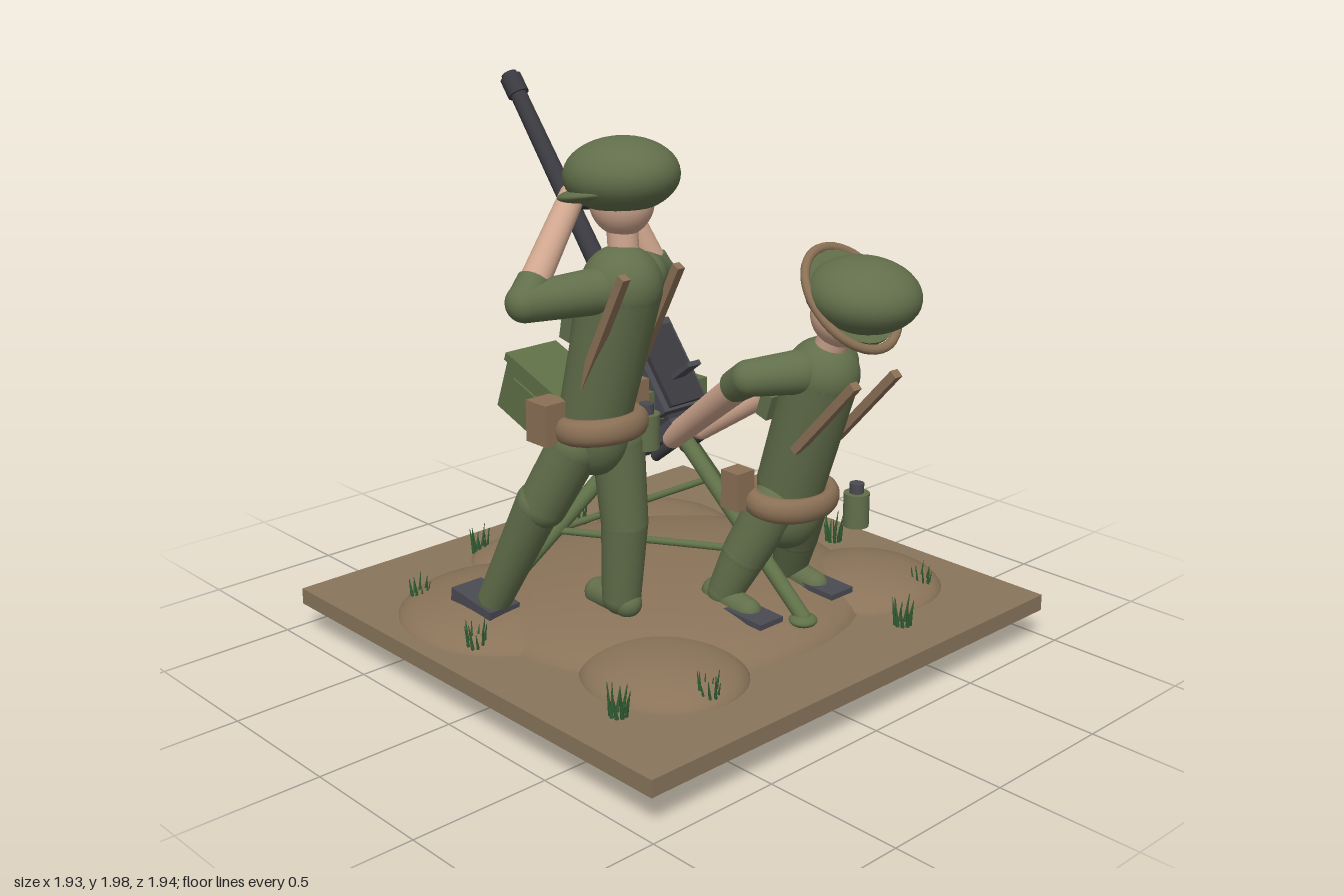
import * as THREE from 'three';

const mat = (name, color) => Object.assign(new THREE.MeshStandardMaterial({ color }), { name });
const M = {
  soil: mat('soil', 0x88755c), mound: mat('mound', 0x8a7359), cloth: mat('olive cloth', 0x626f4b),
  skin: mat('skin', 0xcfa68e), web: mat('tan webbing', 0x8a7055), steel: mat('gun steel', 0x4a4a52),
  dark: mat('dark steel', 0x3a3a40), paint: mat('green paint', 0x5f7048), grass: mat('grass', 0x2f5a30),
};
const V = (p) => new THREE.Vector3(...p);

function add(parent, name, geo, material, pos = [0, 0, 0], rot = [0, 0, 0]) {
  const m = new THREE.Mesh(geo, material);
  m.name = name;
  m.position.set(...pos);
  m.rotation.set(...rot);
  parent.add(m);
  return m;
}
const box = (g, name, material, size, pos, rot) => add(g, name, new THREE.BoxGeometry(...size), material, pos, rot);
const cyl = (g, name, material, r1, r2, h, pos, rot) => add(g, name, new THREE.CylinderGeometry(r1, r2, h, 24), material, pos, rot);
function ball(g, name, material, r, pos, rot) {
  const m = add(g, name, new THREE.SphereGeometry(1, 36, 20), material, pos, rot);
  m.scale.set(...r);
  return m;
}
// Tapered rod from a to b, with rounded ends if wanted
function limb(g, name, material, a, b, r1, r2 = r1, round = true) {
  const A = V(a), B = V(b), dir = B.clone().sub(A);
  const m = cyl(g, name, material, r2, r1, dir.length(), A.clone().add(B).multiplyScalar(0.5).toArray());
  m.quaternion.setFromUnitVectors(new THREE.Vector3(0, 1, 0), dir.normalize());
  if (round) {
    ball(g, name + 'Start', material, [r1, r1, r1], a);
    ball(g, name + 'End', material, [r2, r2, r2], b);
  }
  return m;
}
// Thin flat strap in the side plane
function strap(g, x, a, b, w) {
  const dy = b[0] - a[0], dz = b[1] - a[1];
  box(g, 'suspender', M.web, [w, Math.hypot(dy, dz), 0.03],
    [x, (a[0] + b[0]) / 2, (a[1] + b[1]) / 2], [Math.atan2(dz, dy), 0, 0]);
}
function belt(g, pos, rx, rz, tilt) {
  const m = add(g, 'belt', new THREE.TorusGeometry(1, 0.25, 14, 40), M.web, pos, [Math.PI / 2 + tilt, 0, 0]);
  m.scale.set(rx, rz, 0.18);
}
function canteen(g, pos) {
  const [x, y, z] = pos;
  cyl(g, 'canteen', M.cloth, 0.045, 0.045, 0.12, pos);
  cyl(g, 'canteenCap', M.steel, 0.025, 0.025, 0.04, [x, y + 0.075, z]);
}

function ground() {
  const g = new THREE.Group();
  g.name = 'ground';
  box(g, 'slab', M.soil, [1.93, 0.06, 1.89], [0, 0.155, 0.01]);
  const mounds = [
    [0, 0, 0.74, 0.155, 0.7], [-0.52, -0.28, 0.4, 0.11, 0.4], [-0.19, -0.61, 0.21, 0.08, 0.2],
    [0.42, -0.45, 0.26, 0.1, 0.33], [0.57, 0.44, 0.3, 0.11, 0.29], [-0.47, 0.48, 0.28, 0.11, 0.3],
  ];
  for (const [x, z, rx, ry, rz] of mounds) ball(g, 'mound', M.mound, [rx, ry, rz], [x, 0.163, z]);
  ball(g, 'pebble', M.mound, [0.045, 0.035, 0.05], [0.7, 0.205, -0.18]);
  // Grass tufts: rings of leaning blades
  const tufts = [[-0.28, -0.76], [-0.72, -0.54], [0.17, -0.71], [0.76, -0.44], [-0.81, -0.09],
    [0.8, 0.09], [-0.77, 0.59], [-0.5, 0.72], [0.4, 0.77], [0.67, 0.63]];
  tufts.forEach(([x, z], n) => {
    for (let i = 0; i < 9; i++) {
      const a = i * 0.698 + n, h = 0.07 + ((i * 5 + n * 3) % 7) * 0.007;
      const foot = [x + 0.026 * Math.cos(a), 0.185, z + 0.026 * Math.sin(a)];
      const tip = [x + 0.038 * Math.cos(a + 0.3), 0.185 + h, z + 0.038 * Math.sin(a + 0.3)];
      limb(g, 'grassBlade', M.grass, foot, tip, 0.007, 0.001, false);
    }
  });
  return g;
}

function tripod() {
  const g = new THREE.Group();
  g.name = 'tripod';
  const legs = [
    [[0.11, 0.82, -0.12], [0.7, 0.21, -0.33]],
    [[0.05, 0.82, -0.12], [-0.53, 0.23, -0.32]],
    [[0.07, 0.8, -0.04], [0.07, 0.26, 0.6]],
  ];
  const joints = legs.map(([a, b]) => {
    limb(g, 'tripodLeg', M.paint, a, b, 0.03, 0.027);
    ball(g, 'tripodFoot', M.paint, [0.05, 0.022, 0.05], [b[0], b[1] - 0.01, b[2]]);
    return V(a).lerp(V(b), (a[1] - 0.44) / (a[1] - b[1])).toArray();
  });
  joints.forEach((p, i) => limb(g, 'brace', M.paint, p, joints[(i + 1) % 3], 0.013));
  box(g, 'cradle', M.paint, [0.3, 0.11, 0.19], [0.07, 0.895, -0.125]);
  ball(g, 'pivot', M.paint, [0.1, 0.11, 0.1], [0.07, 0.8, -0.22]);
  return g;
}

function gun() {
  const g = new THREE.Group();
  g.name = 'gun';
  // Local +y runs along the barrel, local +z is the gun's top
  g.position.set(0.065, 0.955, -0.165);
  g.rotation.x = -0.656;
  box(g, 'receiver', M.steel, [0.21, 0.34, 0.22], [0, 0, 0]);
  box(g, 'topCover', M.dark, [0.16, 0.3, 0.03], [0, -0.01, 0.115]);
  box(g, 'backPlate', M.steel, [0.22, 0.05, 0.24], [0, -0.225, 0]);
  box(g, 'buffer', M.dark, [0.12, 0.06, 0.12], [0, -0.18, 0]);
  box(g, 'rearSight', M.steel, [0.06, 0.018, 0.14], [0, -0.06, 0.17]);
  box(g, 'frontCatch', M.steel, [0.06, 0.09, 0.03], [0, 0.2, 0.1]);
  for (const s of [-1, 1]) cyl(g, 'grip', M.dark, 0.02, 0.02, 0.16, [s * 0.07, -0.27, 0], [Math.PI / 2, 0, 0]);
  cyl(g, 'barrelSleeve', M.steel, 0.043, 0.055, 0.3, [0, 0.31, 0]);
  for (let i = 0; i < 5; i++) cyl(g, 'coolingRing', M.steel, 0.06, 0.06, 0.026, [0, 0.2 + i * 0.05, 0]);
  cyl(g, 'barrel', M.dark, 0.031, 0.037, 0.82, [0, 0.83, 0]);
  cyl(g, 'muzzle', M.dark, 0.041, 0.041, 0.075, [0, 1.225, 0]);
  cyl(g, 'muzzleTip', M.dark, 0.03, 0.03, 0.02, [0, 1.268, 0]);
  limb(g, 'chargingHandle', M.dark, [0.1, 0, -0.02], [0.18, 0, -0.02], 0.02);
  box(g, 'feedTray', M.dark, [0.09, 0.14, 0.08], [-0.145, 0, 0]);
  cyl(g, 'feedLink', M.dark, 0.025, 0.025, 0.14, [-0.25, 0, 0], [0, 0, Math.PI / 2]);
  cyl(g, 'feedCollar', M.steel, 0.04, 0.04, 0.03, [-0.23, 0, 0], [0, 0, Math.PI / 2]);
  return g;
}

function ammoBox() {
  const g = new THREE.Group();
  g.name = 'ammoBox';
  g.position.set(-0.352, 0.95, -0.195);
  g.rotation.x = 0.35;
  box(g, 'boxBody', M.paint, [0.205, 0.2, 0.35], [0, -0.01, 0]);
  box(g, 'boxLid', M.paint, [0.225, 0.03, 0.365], [0, 0.095, 0]);
  box(g, 'boxRib', M.paint, [0.24, 0.1, 0.24], [0.01, -0.01, 0]);
  return g;
}

function spotter() {
  const g = new THREE.Group();
  g.name = 'standingFigure';
  const x = -0.455;
  limb(g, 'torso', M.cloth, [-0.475, 1.47, 0.29], [-0.49, 1.02, 0.17], 0.132, 0.12);
  ball(g, 'pelvis', M.cloth, [0.12, 0.16, 0.12], [-0.49, 0.97, 0.17]);
  limb(g, 'neck', M.skin, [x, 1.55, 0.28], [x, 1.67, 0.27], 0.05);
  ball(g, 'head', M.skin, [0.1, 0.115, 0.11], [x, 1.74, 0.27]);
  ball(g, 'helmet', M.cloth, [0.178, 0.12, 0.195], [x, 1.82, 0.27], [-0.08, 0, 0]);
  ball(g, 'helmetBrim', M.cloth, [0.185, 0.032, 0.185], [x, 1.765, 0.24], [-0.2, 0, 0]);
  limb(g, 'chinStrap', M.web, [x + 0.13, 1.76, 0.3], [x + 0.09, 1.72, 0.12], 0.012);
  // Legs, one stepping forward
  limb(g, 'thigh', M.cloth, [-0.41, 0.92, 0.19], [-0.39, 0.62, 0.2], 0.09, 0.08);
  limb(g, 'shin', M.cloth, [-0.39, 0.62, 0.2], [-0.38, 0.34, 0.17], 0.08, 0.068);
  limb(g, 'foot', M.cloth, [-0.38, 0.32, 0.2], [-0.37, 0.31, 0.04], 0.05);
  limb(g, 'forwardThigh', M.cloth, [-0.56, 0.92, 0.15], [-0.61, 0.7, 0.04], 0.09, 0.085);
  limb(g, 'forwardShin', M.cloth, [-0.62, 0.7, 0.03], [-0.655, 0.3, -0.18], 0.08, 0.06);
  box(g, 'boot', M.steel, [0.13, 0.075, 0.22], [-0.655, 0.255, -0.24], [0.12, 0, 0]);
  // Arms raised to the field glasses
  const arms = [
    [[-0.57, 1.47, 0.29], [-0.81, 1.46, 0.22], [-0.53, 1.74, 0.12]],
    [[-0.38, 1.49, 0.29], [-0.235, 1.45, 0.2], [-0.35, 1.73, 0.13]],
  ];
  for (const [s, e, h] of arms) {
    limb(g, 'sleeve', M.cloth, s, e, 0.075, 0.062);
    const cuff = V(e).lerp(V(h), 0.2).toArray();
    limb(g, 'cuff', M.cloth, e, cuff, 0.06, 0.055, false);
    limb(g, 'forearm', M.skin, e, h, 0.05, 0.042);
  }
  for (const s of [-1, 1]) {
    limb(g, 'fieldGlass', M.dark, [x + s * 0.04, 1.725, 0.18], [x + s * 0.04, 1.72, 0.06], 0.025, 0.036, false);
    strap(g, -0.475 + s * 0.115, [1.54, 0.43], [1.06, 0.18], 0.03);
    box(g, 'chestPocket', M.cloth, [0.08, 0.09, 0.05], [-0.475 + s * 0.06, 1.32, 0.13], [0.2, 0, 0]);
  }
  belt(g, [-0.485, 0.99, 0.19], 0.135, 0.12, -0.08);
  box(g, 'pouch', M.web, [0.1, 0.14, 0.1], [-0.64, 1.015, 0.11]);
  box(g, 'pouch', M.web, [0.1, 0.14, 0.1], [-0.29, 1.015, 0.11]);
  canteen(g, [-0.335, 0.945, 0.25]);
  return g;
}

function gunner() {
  const g = new THREE.Group();
  g.name = 'crouchingFigure';
  const x = 0.115;
  limb(g, 'torso', M.cloth, [x, 1.13, 0.62], [x, 0.72, 0.49], 0.125, 0.118);
  ball(g, 'pelvis', M.cloth, [0.13, 0.15, 0.12], [x, 0.62, 0.47]);
  limb(g, 'neck', M.skin, [x, 1.2, 0.64], [x, 1.3, 0.68], 0.055);
  ball(g, 'head', M.skin, [0.1, 0.105, 0.11], [x, 1.345, 0.7]);
  ball(g, 'helmet', M.cloth, [0.188, 0.12, 0.19], [x, 1.43, 0.785], [0.1, 0, 0]);
  // Brim tips back as the figure looks up along the gun
  cyl(g, 'helmetBrim', M.cloth, 0.175, 0.175, 0.02, [x, 1.41, 0.733], [0.84, 0, 0]);
  const rim = add(g, 'helmetBand', new THREE.TorusGeometry(0.175, 0.015, 10, 44), M.web, [x, 1.41, 0.736], [0.84 + Math.PI / 2, 0, 0]);
  rim.scale.y = 1.1;
  for (const s of [-1, 1]) {
    const at = (dx) => x + s * dx;
    limb(g, 'sleeve', M.cloth, [at(0.09), 1.15, 0.6], [at(0.215), 1.13, 0.49], 0.075, 0.062);
    limb(g, 'cuff', M.cloth, [at(0.215), 1.13, 0.49], [at(0.2), 1.08, 0.41], 0.062, 0.056, false);
    limb(g, 'forearm', M.skin, [at(0.215), 1.13, 0.49], [0.065 + s * 0.07, 0.79, 0.03], 0.052, 0.042);
    limb(g, 'thigh', M.cloth, [at(0.08), 0.64, 0.48], [at(0.13), 0.46, 0.4], 0.09, 0.08);
    limb(g, 'shin', M.cloth, [at(0.13), 0.46, 0.4], [at(0.165), 0.31, 0.34], 0.08, 0.062);
    limb(g, 'foot', M.cloth, [at(0.17), 0.275, 0.46], [at(0.17), 0.3, 0.3], 0.045, 0.05);
    box(g, 'sole', M.steel, [0.11, 0.02, 0.36], [at(0.18), 0.277, 0.4], [0.03, 0, 0]);
    strap(g, at(0.1), [1.16, 0.85], [0.88, 0.6], 0.035);
    box(g, 'chestPocket', M.cloth, [0.08, 0.09, 0.05], [at(0.06), 1.0, 0.45], [0.3, 0, 0]);
    box(g, 'pouch', M.web, [0.08, 0.135, 0.08], [at(0.18), 0.715, 0.41]);
  }
  belt(g, [x, 0.665, 0.49], 0.15, 0.12, 0.1);
  canteen(g, [0.29, 0.61, 0.635]);
  return g;
}

export function createModel() {
  const model = new THREE.Group();
  model.name = 'gunCrewDiorama';
  model.add(ground(), tripod(), gun(), ammoBox(), spotter(), gunner());
  return model;
}
